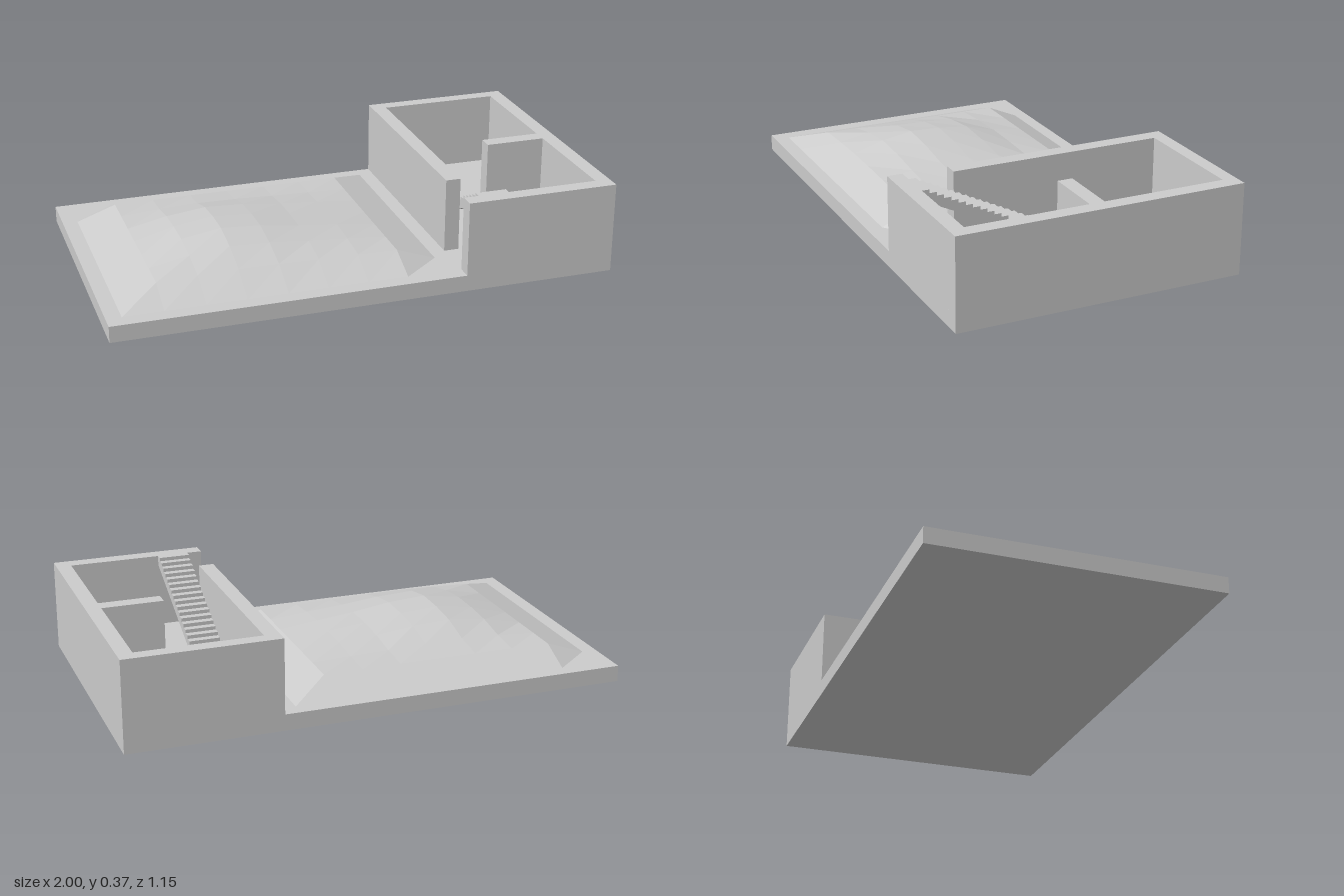
import * as THREE from 'three';

const BASE = 0.065, TOP = 0.365, HALF_Z = 0.575;

function createMaterial(side = THREE.FrontSide) {
  return new THREE.MeshStandardMaterial({ color: 0xcccccc, flatShading: true, side });
}

function addMesh(group, name, geometry, material) {
  const mesh = new THREE.Mesh(geometry, material);
  mesh.name = name;
  group.add(mesh);
  return mesh;
}

function outline(points) {
  return new THREE.Shape(points.map(([a, b]) => new THREE.Vector2(a, b)));
}

// Low mound: an even rim plus an off-centre bump, on an 8 x 8 grid
function terrainGeometry() {
  const x0 = -0.94, x1 = 0.33, z0 = -0.52, z1 = 0.515, n = 8;
  const bumpX = [0, 0, 0.045, 0.07, 0.06, 0.037, 0.02, 0, 0];
  const bumpZ = [0, 0, 0.25, 0.75, 0.95, 1, 0.7, 0.15, 0];
  const positions = [], index = [];
  for (let j = 0; j <= n; j++) {
    for (let i = 0; i <= n; i++) {
      const rim = i > 0 && i < n && j > 0 && j < n ? 0.057 : 0.0005;
      positions.push(
        x0 + ((x1 - x0) * i) / n,
        BASE + rim + bumpX[i] * bumpZ[j],
        z0 + ((z1 - z0) * j) / n
      );
      if (i < n && j < n) {
        const a = j * (n + 1) + i, b = a + 1, c = a + n + 1, d = c + 1;
        index.push(a, c, b, b, c, d);
      }
    }
  }
  const geometry = new THREE.BufferGeometry();
  geometry.setAttribute('position', new THREE.Float32BufferAttribute(positions, 3));
  geometry.setIndex(index);
  geometry.computeVertexNormals();
  return geometry;
}

// Walls drawn in plan, with a doorway on one side and a partition stub inside
function wallGeometry() {
  const plan = [
    [0.39, -HALF_Z], [1, -HALF_Z], [1, HALF_Z], [0.39, HALF_Z],
    [0.39, 0.515], [0.94, 0.515], [0.94, 0.03], [0.695, 0.03],
    [0.695, -0.03], [0.94, -0.03], [0.94, -0.52], [0.45, -0.52],
    [0.45, 0.335], [0.39, 0.335],
  ].map(([x, z]) => [x, -z]);
  return new THREE.ExtrudeGeometry(outline(plan), { depth: TOP - BASE, bevelEnabled: false })
    .rotateX(-Math.PI / 2)
    .translate(0, BASE, 0);
}

// Flight of steps: sawtooth top, sloping underside, extruded across its width
function stairGeometry() {
  const steps = 21, start = -0.09, end = 0.515;
  const run = (end - start) / steps, rise = (TOP - BASE) / steps;
  const profile = [[start, BASE]];
  for (let i = 0; i < steps; i++) {
    const y = BASE + (i + 1) * rise;
    profile.push([start + i * run, y], [start + (i + 1) * run, y]);
  }
  profile.push([end, TOP - 0.04], [start + 0.06, BASE]);
  // Profile runs along z; turn it so the extrusion spans x
  return new THREE.ExtrudeGeometry(outline(profile), { depth: 0.125, bevelEnabled: false })
    .rotateY(-Math.PI / 2)
    .translate(0.575, 0, 0);
}

export function createModel() {
  const model = new THREE.Group();
  model.name = 'courtyardHouse';
  const solid = createMaterial();

  // Ground slab
  addMesh(model, 'groundSlab', new THREE.BoxGeometry(2, BASE, HALF_Z * 2), solid)
    .position.y = BASE / 2;

  // Garden mound
  addMesh(model, 'gardenMound', terrainGeometry(), createMaterial(THREE.DoubleSide));

  // Roofless building and its stairs
  const building = new THREE.Group();
  building.name = 'building';
  addMesh(building, 'walls', wallGeometry(), solid);
  addMesh(building, 'stairs', stairGeometry(), solid);
  model.add(building);

  return model;
}
